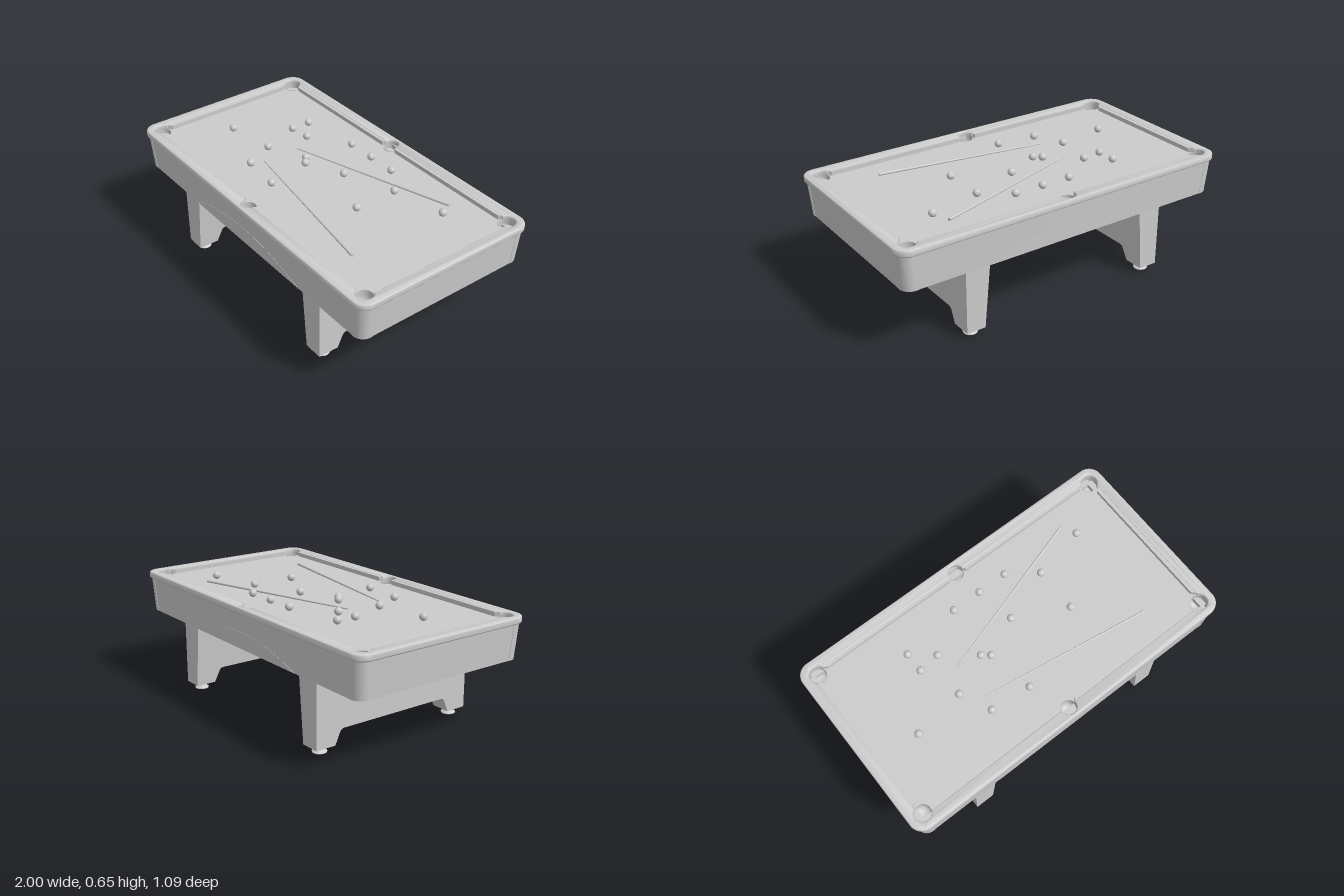
import * as THREE from 'three';
import { toCreasedNormals } from 'three/addons/utils/BufferGeometryUtils.js';

const material = new THREE.MeshStandardMaterial({ color: 0xcccccc, side: THREE.DoubleSide });
const BED_Y = 0.603, RAIL_BOTTOM = 0.593, RAIL_TOP = 0.63;
const INNER_X = 0.937, INNER_Z = 0.475;
const CORNER = { x: 0.913, z: 0.457, r: 0.046 };
const SIDE = { x: 0, z: 0.48, r: 0.042 };

function part(name, geometry, parent) {
  const mesh = new THREE.Mesh(geometry, material);
  mesh.name = name;
  parent.add(mesh);
  return mesh;
}

// Rounded rectangle centred on the origin, as a Shape or a Path
function roundedRect(hx, hz, r, Type = THREE.Shape) {
  const s = new Type();
  s.absarc(hx - r, hz - r, r, 0, Math.PI / 2);
  s.absarc(-hx + r, hz - r, r, Math.PI / 2, Math.PI);
  s.absarc(-hx + r, -hz + r, r, Math.PI, Math.PI * 1.5);
  s.absarc(hx - r, -hz + r, r, Math.PI * 1.5, Math.PI * 2);
  s.closePath();
  return s;
}

// Extrudes a plan (x, z) upwards from y0 to y1, optionally with rounded edges
function slab(shape, y0, y1, bevel = 0) {
  const g = new THREE.ExtrudeGeometry(shape, {
    depth: y1 - y0 - 2 * bevel, curveSegments: 12, bevelEnabled: bevel > 0,
    bevelSize: bevel, bevelThickness: bevel, bevelOffset: -bevel, bevelSegments: 4,
  });
  g.rotateX(Math.PI / 2);
  g.translate(0, y1 - bevel, 0);
  return toCreasedNormals(g, 0.6);
}

function polygon(points) {
  return new THREE.Shape(points.map(([x, z]) => new THREE.Vector2(x, z)));
}

// Leans the apron walls inwards towards the floor
function taper(g) {
  const p = g.attributes.position;
  for (let i = 0; i < p.count; i++) {
    const t = (0.6 - p.getY(i)) / 0.2;
    p.setX(i, p.getX(i) * (1 - 0.015 * t));
    p.setZ(i, p.getZ(i) * (1 - 0.02 * t));
  }
  return toCreasedNormals(g, 0.6);
}

// Opening inside the rail: a rectangle that bulges out round the six pockets
function railOpening() {
  const path = new THREE.Path(), { x, z, r } = CORNER;
  const dx = INNER_X - x, dz = INNER_Z - z, sz = INNER_Z - SIDE.z;
  const a = Math.atan2(-Math.sqrt(r * r - dx * dx), dx);
  const b = Math.atan2(dz, -Math.sqrt(r * r - dz * dz));
  const c = Math.asin(sz / SIDE.r), PI = Math.PI;
  path.absarc(x, z, r, a, b);
  path.absarc(0, SIDE.z, SIDE.r, c, PI - c);
  path.absarc(-x, z, r, PI - b, PI - a);
  path.absarc(-x, -z, r, PI + a, PI + b);
  path.absarc(0, -SIDE.z, SIDE.r, PI + c, 2 * PI - c);
  path.absarc(x, -z, r, -b, -a);
  path.closePath();
  return path;
}

function addTop(group) {
  const rail = roundedRect(1, 0.543, 0.075);
  rail.holes.push(railOpening());
  part('rail', slab(rail, RAIL_BOTTOM, RAIL_TOP, 0.008), group);

  // Playing bed with a hole and a cup for each pocket
  const bed = roundedRect(0.968, 0.524, 0.05);
  const cup = new THREE.Group();
  cup.name = 'pockets';
  group.add(cup);
  for (const sz of [-1, 1]) {
    for (const [px, pz, r] of [[-CORNER.x, CORNER.z, CORNER.r], [0, SIDE.z, SIDE.r], [CORNER.x, CORNER.z, CORNER.r]]) {
      bed.holes.push(new THREE.Path().absarc(px, pz * sz, r, 0, Math.PI * 2, true));
      const profile = [[0, 0.535], [0.6 * r, 0.538], [0.9 * r, 0.55], [r, 0.57], [r, 0.606]];
      part('pocketCup', new THREE.LatheGeometry(profile.map(([u, v]) => new THREE.Vector2(u, v)), 28), cup)
        .position.set(px, 0, pz * sz);
    }
  }
  part('bed', slab(bed, 0.575, BED_Y), group);

  // Cushions with angled ends beside the pockets
  for (const s of [-1, 1]) {
    part('endCushion', slab(polygon([[0.945 * s, -0.42], [0.945 * s, 0.42], [0.916 * s, 0.39], [0.916 * s, -0.39]]), BED_Y, 0.627), group);
    for (const t of [-1, 1]) {
      part('sideCushion', slab(polygon([[0.043 * t, 0.482 * s], [0.872 * t, 0.482 * s], [0.85 * t, 0.459 * s], [0.054 * t, 0.459 * s]]), BED_Y, 0.627), group);
    }
  }
}

function addApron(group) {
  const wall = roundedRect(0.985, 0.53, 0.06);
  wall.holes.push(roundedRect(0.967, 0.512, 0.045, THREE.Path));
  part('apron', taper(slab(wall, 0.4, 0.6)), group);

  for (const s of [-1, 1]) {
    // Corner castings wrapping the apron
    for (const t of [-1, 1]) {
      const c = new THREE.Shape(), X = 0.987 * s, Z = 0.532 * t;
      c.moveTo(X, 0.46 * t);
      c.lineTo(X, 0.472 * t);
      c.bezierCurveTo(X, 0.505 * t, 0.96 * s, Z, 0.927 * s, Z);
      c.lineTo(0.915 * s, Z);
      c.lineTo(0.915 * s, 0.52 * t);
      c.lineTo(0.93 * s, 0.52 * t);
      c.lineTo(0.975 * s, 0.475 * t);
      c.lineTo(0.975 * s, 0.46 * t);
      part('cornerCasting', taper(slab(c, 0.4, 0.6)), group);
    }
    // Shallow arched panel on each long face
    const arch = new THREE.Shape();
    arch.moveTo(-0.48, 0);
    arch.quadraticCurveTo(0, 0.19, 0.48, 0);
    const panel = part('archPanel', new THREE.ExtrudeGeometry(arch, { depth: 0.004, bevelEnabled: false, curveSegments: 32 }), group);
    panel.rotation.order = 'YXZ';
    panel.rotation.set(0.053, s > 0 ? 0 : Math.PI, 0);
    panel.position.set(0, 0.4, 0.5165 * s);
    // Support beams under the bed
    part('sideBeam', new THREE.BoxGeometry(1.88, 0.03, 0.035), group).position.set(0, 0.562, 0.49 * s);
    part('endBeam', new THREE.BoxGeometry(0.035, 0.03, 0.96), group).position.set(0.94 * s, 0.562, 0);
  }
}

// Wide pedestal: vertical outside, sloping inside, with a cut-out between the feet
function pedestalGeometry() {
  const s = new THREE.Shape();
  s.moveTo(-0.497, 0.035);
  s.lineTo(-0.38, 0.035);
  s.lineTo(-0.351, 0.1);
  s.quadraticCurveTo(-0.343, 0.117, -0.325, 0.117);
  s.lineTo(0.325, 0.117);
  s.quadraticCurveTo(0.343, 0.117, 0.351, 0.1);
  s.lineTo(0.38, 0.035);
  s.lineTo(0.497, 0.035);
  s.lineTo(0.497, 0.576);
  s.lineTo(-0.497, 0.576);
  const g = new THREE.ExtrudeGeometry(s, { depth: 0.14, bevelEnabled: false });
  g.rotateY(Math.PI / 2);
  const p = g.attributes.position;
  for (let i = 0; i < p.count; i++) {
    const inner = 0.484 + (0.4 - p.getY(i)) * 0.088;
    p.setX(i, p.getX(i) < 0.07 ? inner : 0.625);
  }
  return toCreasedNormals(g, 0.5);
}

function addLegs(group) {
  const leg = pedestalGeometry();
  const foot = new THREE.LatheGeometry([[0, 0], [0.038, 0], [0.039, 0.005], [0.022, 0.011], [0.015, 0.02], [0.017, 0.03], [0.02, 0.037], [0, 0.037]]
    .map(([r, y]) => new THREE.Vector2(r, y)), 28);
  for (const s of [-1, 1]) {
    part('pedestalLeg', leg, group).rotation.y = s > 0 ? 0 : Math.PI;
    for (const t of [-1, 1]) part('levellingFoot', foot, group).position.set(0.57 * s, 0, 0.437 * t);
  }
}

function addPlayPieces(group) {
  const ball = new THREE.SphereGeometry(0.0215, 24, 16);
  const spots = [
    [-0.14, -0.31], [0.03, -0.31], [0.2, -0.31], [0.36, -0.195], [0.66, -0.26], [0.07, -0.087],
    [-0.182, -0.021], [-0.14, 0.013], [-0.4, 0.079], [-0.36, -0.16], [-0.48, -0.26], [-0.48, -0.147],
    [-0.69, 0.121], [-0.32, 0.25], [-0.09, 0.272], [0.36, 0.057],
  ];
  for (const [x, z] of spots) part('ball', ball, group).position.set(x, BED_Y + 0.0215, z);

  // Tapered cues lying on the bed
  const up = new THREE.Vector3(0, 1, 0);
  for (const [x0, z0, x1, z1] of [[-0.305, -0.055, 0.617, -0.344], [-0.305, 0.168, 0.648, 0.315]]) {
    const tip = new THREE.Vector3(x0, BED_Y + 0.004, z0), butt = new THREE.Vector3(x1, BED_Y + 0.008, z1);
    const along = butt.clone().sub(tip);
    const cue = part('cue', new THREE.CylinderGeometry(0.008, 0.004, along.length(), 16), group);
    cue.position.copy(tip).add(butt).multiplyScalar(0.5);
    cue.quaternion.setFromUnitVectors(up, along.normalize());
  }
}

export function createModel() {
  const group = new THREE.Group();
  group.name = 'poolTable';
  addTop(group);
  addApron(group);
  addLegs(group);
  addPlayPieces(group);
  return group;
}
